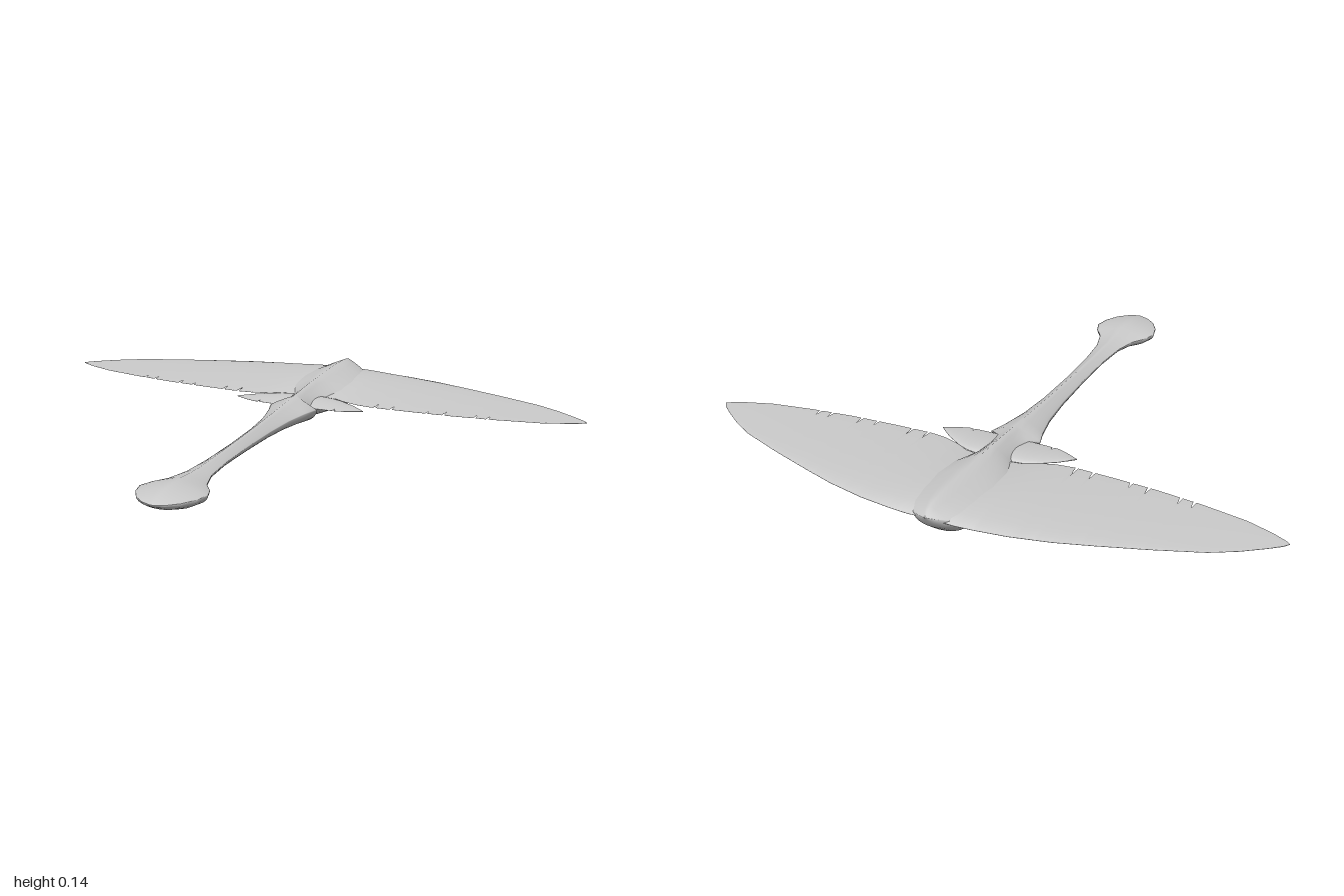
import * as THREE from 'three';

const skin = new THREE.MeshStandardMaterial({ color: 0xcccccc });
skin.name = 'pale grey';

// Skin a row of closed rings, each an equal-length list of [x, y, z]
function loft(name, rings) {
  const n = rings[0].length, index = [];
  for (let i = 0; i < rings.length - 1; i++) {
    for (let j = 0; j < n; j++) {
      const a = i * n + j, b = i * n + (j + 1) % n;
      index.push(a, b, a + n, b, b + n, a + n);
    }
  }
  const geo = new THREE.BufferGeometry();
  geo.setAttribute('position', new THREE.Float32BufferAttribute(rings.flat(2), 3));
  geo.setIndex(index);
  geo.computeVertexNormals();
  const mesh = new THREE.Mesh(geo, skin);
  mesh.name = name;
  return mesh;
}

// Linear reading of a list of [x, value]
function read(list, x) {
  const i = Math.max(1, list.findIndex(p => p[0] >= x - 1e-9));
  const [a, b] = [list[i - 1], list[i]];
  return a[1] + (b[1] - a[1]) * (x - a[0]) / (b[0] - a[0]);
}

// Body from snout to tail paddle: z, half width, top, bottom, edge height
const BODY = [
  [-0.83, 0.001, 0.111, 0.109, 0.11],
  [-0.815, 0.03, 0.122, 0.085, 0.102],
  [-0.795, 0.06, 0.133, 0.058, 0.094],
  [-0.75, 0.105, 0.14, 0.022, 0.088],
  [-0.68, 0.13, 0.142, 0.006, 0.085],
  [-0.58, 0.135, 0.142, 0.001, 0.085],
  [-0.48, 0.11, 0.14, 0.006, 0.085],
  [-0.4, 0.065, 0.138, 0.012, 0.085],
  [-0.32, 0.055, 0.134, 0.022, 0.085],
  [-0.255, 0.058, 0.13, 0.03, 0.085],
  [-0.24, 0.09, 0.129, 0.032, 0.085],
  [-0.18, 0.071, 0.125, 0.038, 0.085],
  [-0.08, 0.05, 0.119, 0.046, 0.084],
  [0.05, 0.038, 0.113, 0.053, 0.083],
  [0.22, 0.033, 0.107, 0.058, 0.083],
  [0.4, 0.035, 0.103, 0.063, 0.083],
  [0.52, 0.045, 0.101, 0.062, 0.083],
  [0.6, 0.068, 0.105, 0.052, 0.083],
  [0.645, 0.1, 0.109, 0.043, 0.083],
  [0.69, 0.115, 0.11, 0.039, 0.084],
  [0.74, 0.102, 0.108, 0.045, 0.085],
  [0.785, 0.075, 0.1, 0.058, 0.086],
  [0.815, 0.04, 0.093, 0.074, 0.086],
  [0.83, 0.001, 0.087, 0.085, 0.086],
];

function bodyRing([z, w, top, bottom, edge]) {
  const ring = [];
  for (let k = 0; k < 24; k++) {
    const a = k / 24 * Math.PI * 2, s = Math.sin(a), c = Math.cos(a);
    // ridged back with hollow flanks, round belly
    const y = s >= 0 ? edge + (top - edge) * Math.pow(1 - Math.abs(c), 0.85)
      : edge + (edge - bottom) * s;
    ring.push([w * c, y, z]);
  }
  return ring;
}

// Thin tapered foil reaching out to one side, with slits in its rear edge
function foil(name, side, { lead, trail, thick, slits, y }) {
  const xs = [...lead, ...trail, ...thick].map(p => p[0]);
  slits.forEach(([x]) => xs.push(x - 0.006, x, x + 0.004));
  const stations = [...new Set(xs)].sort((a, b) => a - b);
  if (side < 0) stations.reverse();
  const N = 10;
  return loft(name, stations.map(x => {
    const front = read(lead, x), back = read(trail, x), t = read(thick, x);
    const slit = slits.find(s => s[0] === x);
    const point = (u, sign) => {
      // the rearmost point steps forward to cut a slit
      const z = front + (back - front) * u - (u === 1 && slit ? slit[1] : 0);
      const h = t * Math.sqrt(u) * (1 - u) * 2.6 + 0.0006;
      return [side * x, y + sign * h, z];
    };
    const us = Array.from({ length: N }, (_, k) => k === N - 1 ? 1 : 0.86 * Math.pow(k / (N - 2), 1.4));
    return [...us.map(u => point(u, 1)), ...us.slice().reverse().map(u => point(u, -1))];
  }));
}

const WING = {
  y: 0.088,
  lead: [[0, -0.8], [0.08, -0.803], [0.14, -0.799], [0.25, -0.785], [0.38, -0.756], [0.5, -0.718], [0.65, -0.667],
    [0.8, -0.61], [0.88, -0.565], [0.95, -0.515], [0.985, -0.487], [1, -0.468]],
  trail: [[0, -0.4], [0.05, -0.4], [0.1, -0.392], [0.15, -0.367], [0.2, -0.35], [0.26, -0.343], [0.4, -0.348],
    [0.55, -0.357], [0.7, -0.375], [0.85, -0.402], [0.94, -0.433], [0.985, -0.455], [1, -0.466]],
  thick: [[0, 0.022], [0.1, 0.018], [0.2, 0.012], [0.35, 0.008], [0.5, 0.005], [0.75, 0.0015], [1, 0]],
  slits: [[0.27, 0.05], [0.33, 0.045], [0.46, 0.03], [0.52, 0.045], [0.63, 0.04], [0.675, 0.035]],
};

const FIN = {
  y: 0.086,
  lead: [[0, -0.4], [0.045, -0.395], [0.1, -0.387], [0.14, -0.37], [0.195, -0.335], [0.23, -0.305], [0.245, -0.291]],
  trail: [[0, -0.245], [0.06, -0.252], [0.1, -0.252], [0.165, -0.255], [0.2, -0.268], [0.23, -0.282], [0.245, -0.289]],
  thick: [[0, 0.014], [0.1, 0.008], [0.245, 0.001]],
  slits: [[0.145, 0.02]],
};

export function createModel() {
  const model = new THREE.Group();
  model.name = 'glidingCreature';
  model.add(loft('body', BODY.map(bodyRing)));
  for (const [label, side] of [['left', 1], ['right', -1]]) {
    model.add(foil(label + 'Wing', side, WING));
    model.add(foil(label + 'RearFin', side, FIN));
  }
  return model;
}
